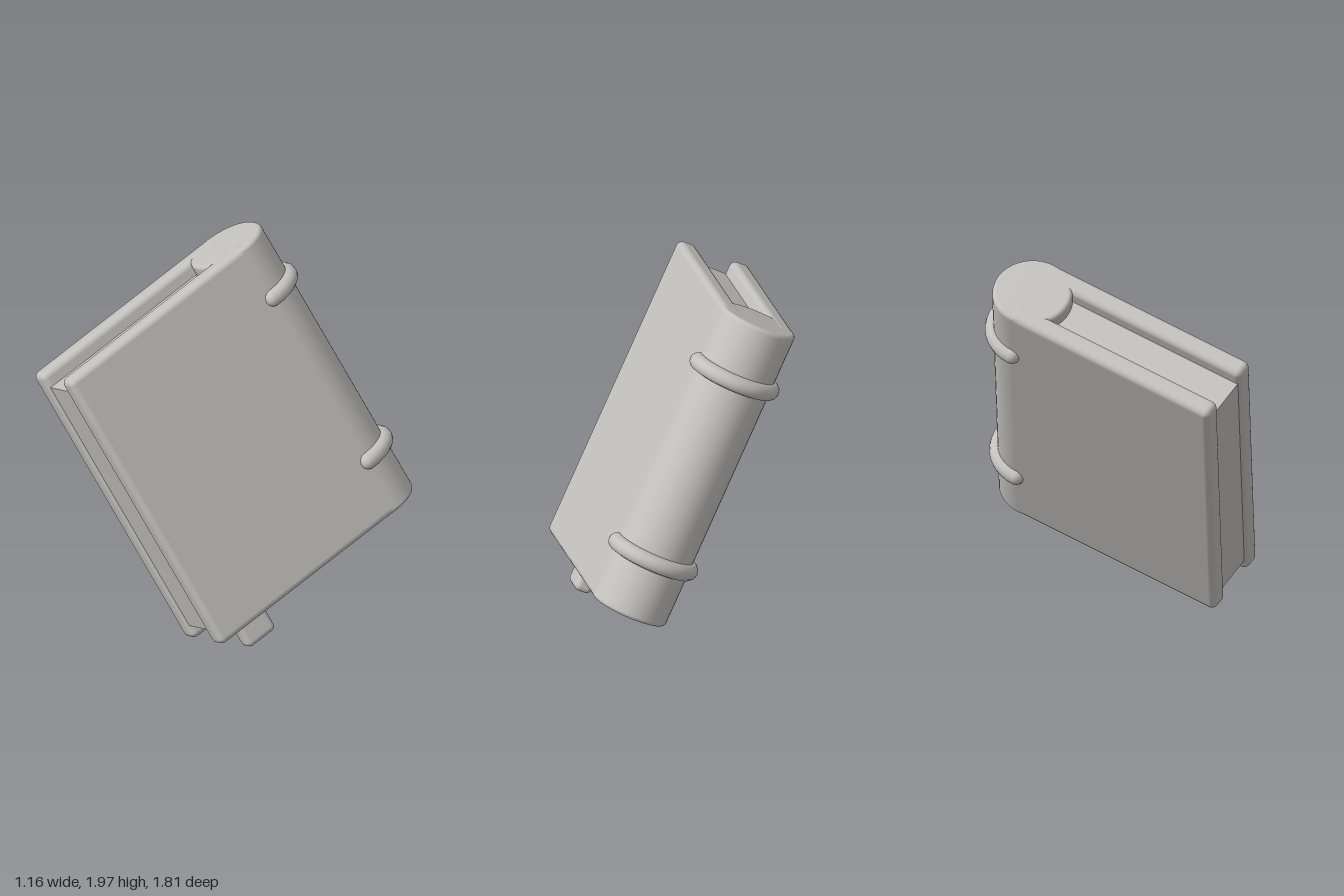
import * as THREE from 'three';
import { RoundedBoxGeometry } from 'three/addons/geometries/RoundedBoxGeometry.js';

// Book in its own frame: x across the thickness, y along the spine, z from spine to fore-edge.
const H = 1.7, R = 0.21, COVER = 0.11, DEPTH = 1.22;

export function createModel() {
  const model = new THREE.Group();
  const book = new THREE.Group();
  book.name = 'book';
  model.add(book);
  const grey = new THREE.MeshStandardMaterial({ color: 0xc4c2be });
  grey.name = 'light grey';

  const add = (name, geometry, x = 0, y = 0, z = 0) => {
    const mesh = new THREE.Mesh(geometry, grey);
    mesh.name = name;
    mesh.position.set(x, y, z);
    book.add(mesh);
    return mesh;
  };

  // Covers
  const start = -0.03;
  for (const [name, s] of [['leftCover', 1], ['rightCover', -1]]) {
    add(name, new RoundedBoxGeometry(COVER, H, DEPTH - start, 3, 0.035),
      s * (R - COVER / 2), 0, (DEPTH + start) / 2);
  }

  // Page block, set in from the cover edges
  add('pages', new THREE.BoxGeometry(0.21, H - 0.165, 1.2), 0, 0, 0.605);

  // Round spine with softened rims
  const half = H / 2 - 0.003, b = 0.022;
  const rim = [0, 1, 2, 3, 4].map((i) => {
    const a = (i / 4) * Math.PI / 2;
    return new THREE.Vector2(R - b + b * Math.cos(a), half - b + b * Math.sin(a));
  });
  const side = [...rim.map((p) => new THREE.Vector2(p.x, -p.y)).reverse(), ...rim];
  const profile = [new THREE.Vector2(0, -half), ...side, new THREE.Vector2(0, half)];
  add('spine', new THREE.LatheGeometry(profile, 40));

  // Raised bands around the spine, with rounded ends on the covers
  const tube = 0.045;
  for (const y of [0.525, -0.525]) {
    const band = new THREE.TorusGeometry(R, tube, 12, 20, Math.PI).rotateX(-Math.PI / 2);
    add('spineBand', band, 0, y, 0);
    for (const s of [1, -1]) {
      add('spineBandEnd', new THREE.SphereGeometry(tube, 14, 10), s * R, y, 0);
    }
  }

  // Bookmark tab hanging below the pages
  add('bookmark', new RoundedBoxGeometry(0.095, 0.34, 0.19, 3, 0.03), 0.005, -H / 2, 0.94);

  // Lean the book
  const up = new THREE.Vector3(-0.45, 0.855, 0.25).normalize();
  const across = up.clone().cross(new THREE.Vector3(0.04, -0.27, 0.96)).normalize();
  const out = across.clone().cross(up);
  book.quaternion.setFromRotationMatrix(new THREE.Matrix4().makeBasis(across, up, out));
  book.position.set(-0.03, 1.16, -0.49);
  return model;
}
